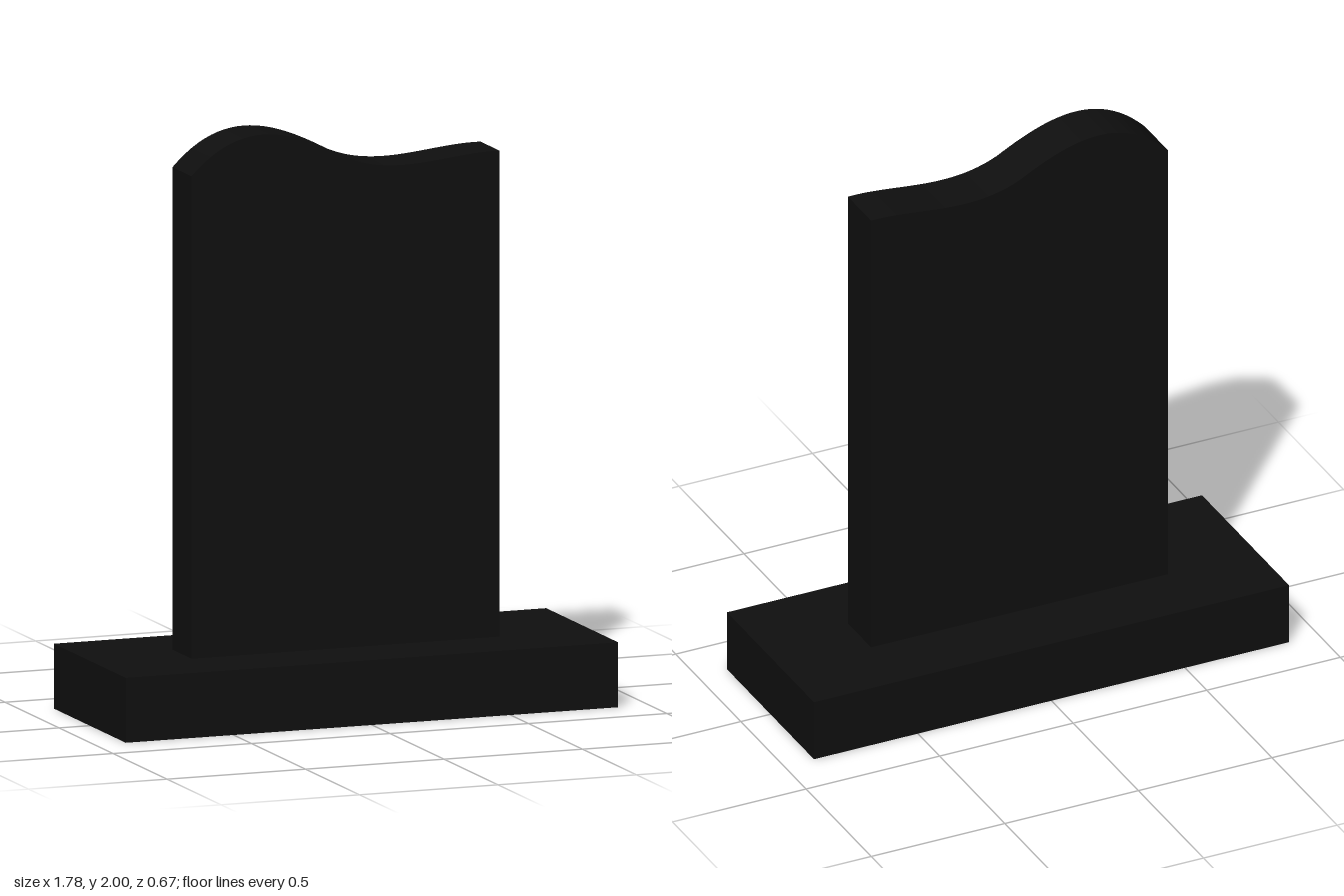
import * as THREE from 'three';

export function createModel() {
  const group = new THREE.Group();
  const stone = new THREE.MeshStandardMaterial({ color: 0x0f0f0f });
  stone.name = 'black stone';

  // Plinth
  const baseHeight = 0.222;
  const base = new THREE.Mesh(new THREE.BoxGeometry(1.778, baseHeight, 0.667), stone);
  base.name = 'base';
  base.position.y = baseHeight / 2;
  group.add(base);

  // Upright slab with a wavy top edge
  const w = 0.556, depth = 0.178;
  const outline = new THREE.Shape();
  outline.moveTo(w, baseHeight);
  outline.lineTo(w, 1.885);
  outline.bezierCurveTo(0.37, 1.89, 0.185, 1.817, 0, 1.9);
  outline.bezierCurveTo(-0.185, 2.0, -0.37, 2.07, -w, 1.873);
  outline.lineTo(-w, baseHeight);
  outline.closePath();
  const slabGeometry = new THREE.ExtrudeGeometry(outline, { depth, bevelEnabled: false, curveSegments: 24 });
  slabGeometry.translate(0, 0, -depth / 2);
  const slab = new THREE.Mesh(slabGeometry, stone);
  slab.name = 'slab';
  group.add(slab);

  return group;
}
